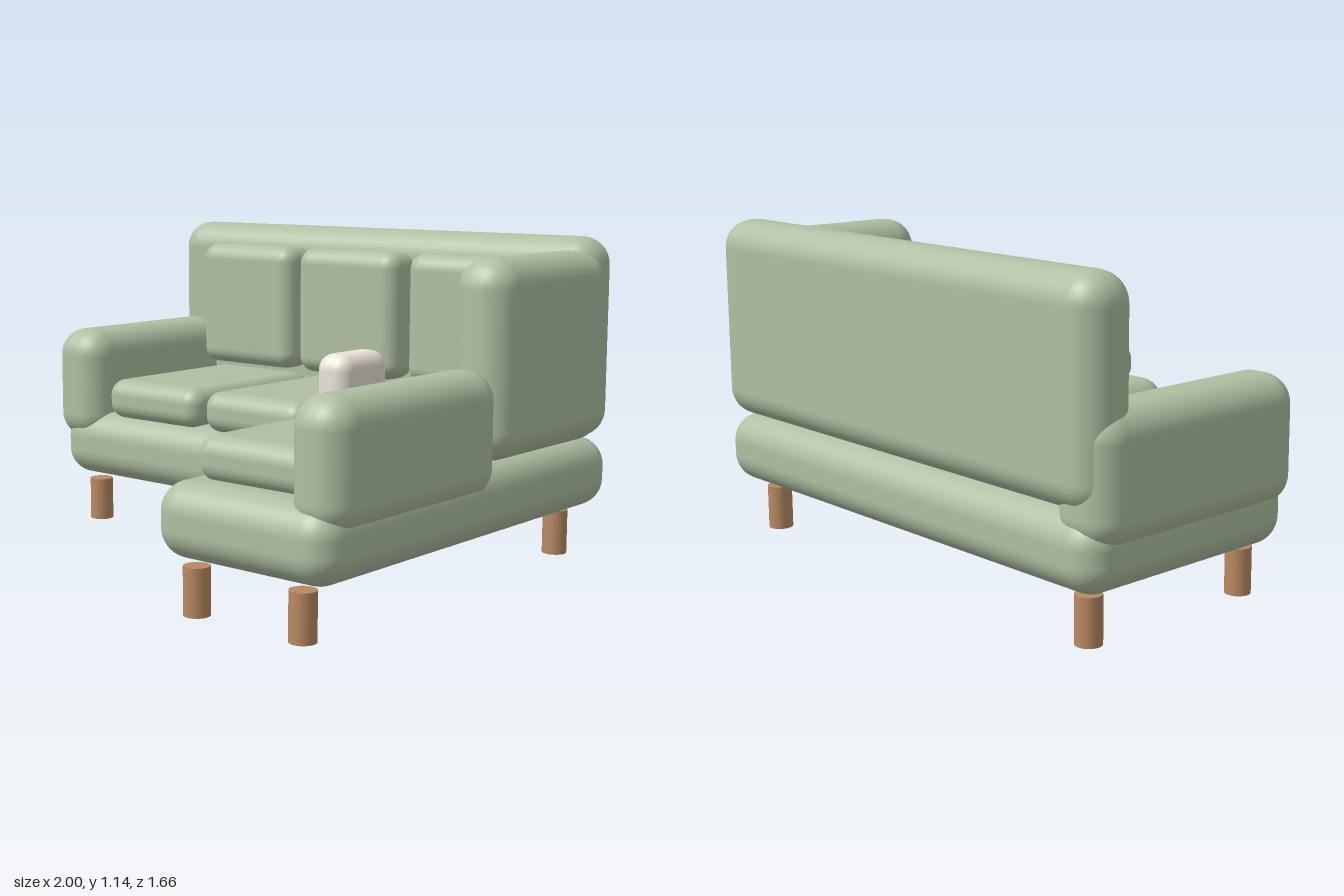
import * as THREE from 'three';
import { RoundedBoxGeometry } from 'three/addons/geometries/RoundedBoxGeometry.js';

const fabric = new THREE.MeshStandardMaterial({ color: 0xafc0a3 });
const wood = new THREE.MeshStandardMaterial({ color: 0xb98a62 });
const cream = new THREE.MeshStandardMaterial({ color: 0xebe5d8 });

// Soft padded block given by its extents along each axis
function pad(name, [x0, x1], [y0, y1], [z0, z1], radius, material = fabric) {
  const geometry = new RoundedBoxGeometry(x1 - x0, y1 - y0, z1 - z0, 5, radius);
  const mesh = new THREE.Mesh(geometry, material);
  mesh.name = name;
  mesh.position.set((x0 + x1) / 2, (y0 + y1) / 2, (z0 + z1) / 2);
  return mesh;
}

export function createModel() {
  const sofa = new THREE.Group();
  sofa.name = 'cornerSofa';

  // L-shaped base: main seat and chaise
  const baseY = [0.18, 0.43];
  sofa.add(
    pad('mainBase', [-0.97, 0.98], baseY, [-0.83, 0.07], 0.1),
    pad('chaiseBase', [0.27, 0.98], baseY, [-0.83, 0.83], 0.1)
  );

  // Backrest and arms
  sofa.add(
    pad('backrest', [-0.97, 0.98], [0.43, 1.145], [-0.835, -0.62], 0.1),
    pad('rightArm', [-1, -0.76], [0.32, 0.75], [-0.81, 0.08], 0.1),
    pad('leftRearArm', [0.785, 1], [0.43, 1.1], [-0.76, -0.04], 0.1),
    pad('leftFrontArm', [0.785, 1], [0.33, 0.75], [-0.07, 0.8], 0.1)
  );

  // Seat cushions, the last one running along the chaise
  const seatY = [0.42, 0.57];
  [[-0.73, -0.26], [-0.23, 0.24]].forEach((x) =>
    sofa.add(pad('seatCushion', x, seatY, [-0.64, 0.05], 0.06)));
  sofa.add(pad('chaiseCushion', [0.36, 0.85], seatY, [-0.64, 0.72], 0.06));

  // Back cushions
  [[-0.73, -0.26], [-0.23, 0.24], [0.29, 0.81]].forEach((x) =>
    sofa.add(pad('backCushion', x, [0.59, 1.07], [-0.66, -0.49], 0.06)));

  // Small pillow on the chaise
  sofa.add(pad('pillow', [0.65, 0.775], [0.595, 0.825], [0.245, 0.485], 0.05, cream));

  // Legs
  const legGeometry = new THREE.CylinderGeometry(0.044, 0.044, 0.16, 24);
  [[-0.83, -0.7], [0.825, -0.7], [-0.83, -0.02], [0.395, 0.74], [0.825, 0.74]].forEach(([x, z]) => {
    const leg = new THREE.Mesh(legGeometry, wood);
    leg.name = 'leg';
    leg.position.set(x, 0.08, z);
    sofa.add(leg);
  });

  return sofa;
}
